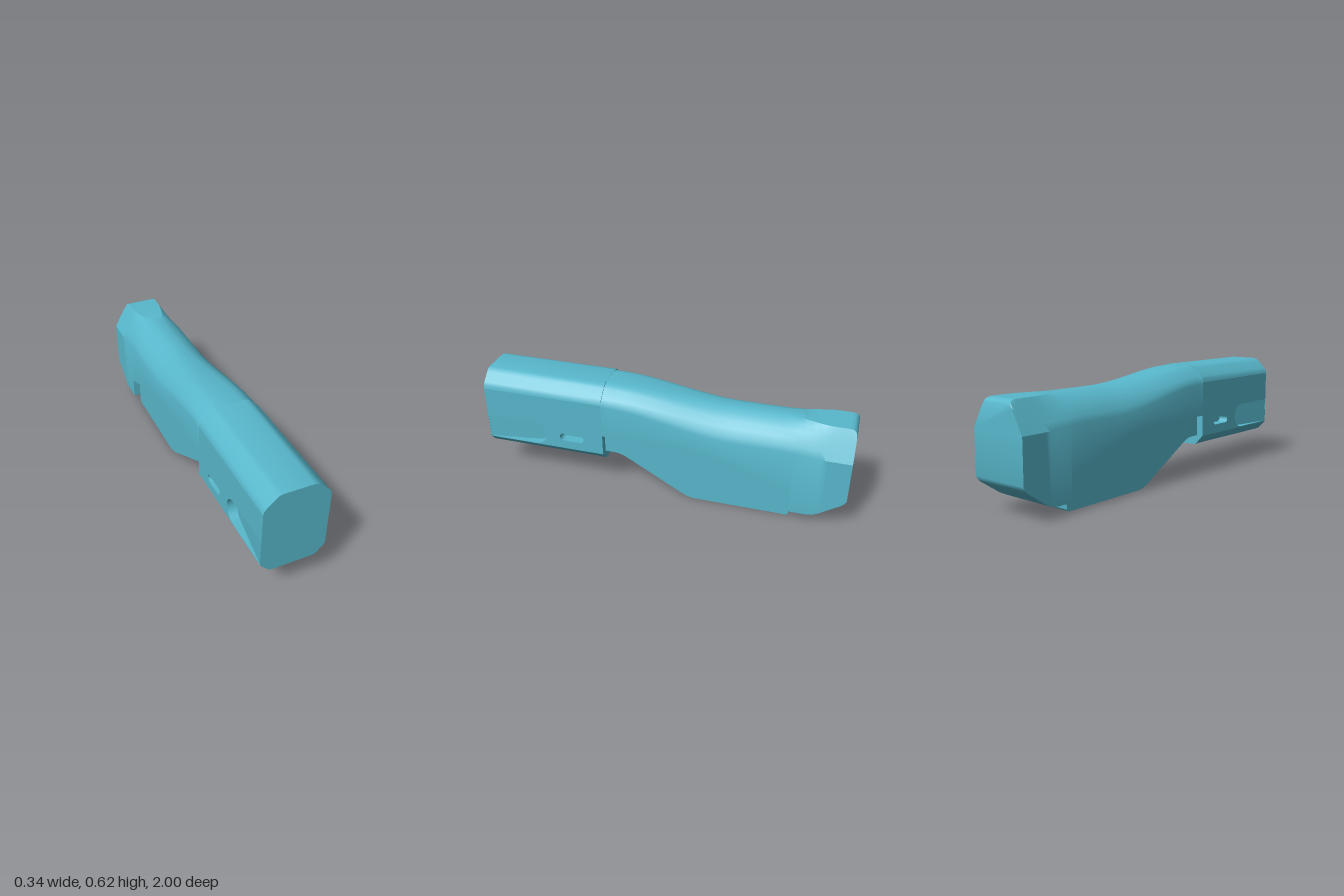
import * as THREE from 'three';
import { toCreasedNormals } from 'three/addons/utils/BufferGeometryUtils.js';

const HALF = 0.17, FRONT = 1, SEAM = 0.32, BACK = -1, STEP = -0.71;
const mat = new THREE.MeshStandardMaterial({ color: 0x58b8cc, side: THREE.DoubleSide });

const mirror = (half) => [...half, ...half.map(([x, y]) => [-x, y]).reverse()];
const vecs = (pts) => pts.map(([x, y]) => new THREE.Vector2(x, y));

// Skin a list of {z, pts} rows running from front to back; pts go counterclockwise.
function loft(rows, closed) {
  const n = rows[0].pts.length, pos = [], idx = [];
  rows.forEach(({ z, pts }) => pts.forEach(([x, y]) => pos.push(x, y, z)));
  for (let i = 0; i < rows.length - 1; i++) {
    for (let j = 0; j < (closed ? n : n - 1); j++) {
      const a = i * n + j, b = i * n + (j + 1) % n, c = a + n, d = b + n;
      idx.push(a, c, b, b, c, d);
    }
  }
  if (closed) {
    const last = (rows.length - 1) * n;
    for (let j = 1; j < n - 1; j++) idx.push(0, j, j + 1, last, last + j + 1, last + j);
  }
  const g = new THREE.BufferGeometry();
  g.setAttribute('position', new THREE.Float32BufferAttribute(pos, 3));
  g.setIndex(idx);
  return toCreasedNormals(g, 0.5);
}

// Extrude a (-z, y) outline across x, starting at x0.
function sidePlate(shape, x0, width) {
  const g = new THREE.ExtrudeGeometry(shape, { depth: width, bevelEnabled: false, curveSegments: 10 });
  g.rotateY(Math.PI / 2).translate(x0, 0, 0);
  return toCreasedNormals(g, 0.5);
}

function add(parent, name, geometry) {
  const m = new THREE.Mesh(geometry, mat);
  m.name = name;
  parent.add(m);
  return m;
}

// Piecewise linear lookup in [z, y] pairs with falling z.
function lookup(table, z) {
  for (let i = 1; i < table.length; i++) {
    const [z0, y0] = table[i - 1], [z1, y1] = table[i];
    if (z >= z1) return y0 + (y1 - y0) * (z0 - z) / (z0 - z1);
  }
  return table[table.length - 1][1];
}

// Front block: rounded octagon with slots cut in both sides.
function frontBlock() {
  const g = new THREE.Group();
  g.name = 'frontBlock';
  const top = mirror([[HALF, 0.53], [0.166, 0.549], [0.155, 0.565], [0.112, 0.605], [0.097, 0.617], [0.075, 0.622]]);
  const bottom = mirror([[HALF, 0.222], [0.132, 0.18], [0.118, 0.17], [0.1, 0.167]]).reverse();
  const strip = (pts) => loft([{ z: FRONT, pts }, { z: SEAM, pts }], false);
  add(g, 'frontTopShell', strip(top));
  add(g, 'frontBottomShell', strip(bottom));

  const face = new THREE.ShapeGeometry(new THREE.Shape(vecs([...top, ...bottom])));
  add(g, 'frontFace', face.clone().translate(0, 0, FRONT));
  add(g, 'frontBlockRearFace', face.clone().rotateY(Math.PI).translate(0, 0, SEAM));

  // Side walls with a small slot and a long ramped recess
  const wall = new THREE.Shape(vecs([[-FRONT, 0.222], [-SEAM, 0.222], [-SEAM, 0.53], [-FRONT, 0.53]]));
  const recess = new THREE.Path();
  recess.moveTo(-0.998, 0.226);
  recess.lineTo(-0.715, 0.226);
  recess.absarc(-0.719, 0.295, 0.069, -Math.PI / 2, Math.PI / 2, false);
  recess.lineTo(-0.998, 0.364);
  recess.closePath();
  const slot = new THREE.Path();
  slot.absarc(-0.548, 0.294, 0.022, Math.PI / 2, Math.PI * 1.5, false);
  slot.absarc(-0.452, 0.294, 0.022, -Math.PI / 2, Math.PI / 2, false);
  slot.closePath();
  wall.holes.push(recess, slot);
  const depth = 0.055, inner = HALF - depth;
  add(g, 'leftSideWall', sidePlate(wall, inner, depth));
  add(g, 'rightSideWall', sidePlate(wall, -HALF, depth));

  const core = add(g, 'core', new THREE.BoxGeometry(inner * 2, 0.3, 0.66));
  core.position.set(0, 0.37, 0.66);

  // Sloping floors of the long recesses
  for (const s of [1, -1]) {
    const ramp = new THREE.Shape(vecs([[HALF - 0.001, -FRONT + 0.001], [inner, -0.64], [inner - 0.02, -0.64], [inner - 0.02, -FRONT + 0.001]]));
    const geo = new THREE.ExtrudeGeometry(ramp, { depth: 0.14, bevelEnabled: false });
    geo.rotateX(-Math.PI / 2).translate(0, 0.225, 0);
    if (s < 0) geo.rotateZ(Math.PI).translate(0, 0.59, 0);
    add(g, s > 0 ? 'leftRecessFloor' : 'rightRecessFloor', geo);
  }
  return g;
}

// Rear body: cross-section blends from octagon to arch to a chamfered tail.
function rearBody() {
  const seam = [[HALF, 0.52], [0.164, 0.543], [0.15, 0.562], [0.108, 0.602], [0.086, 0.615], [0.058, 0.621]];
  const waist = [[HALF, 0.425], [0.158, 0.455], [0.135, 0.492], [0.105, 0.522], [0.07, 0.546], [0.03, 0.562]];
  const tail = [[HALF, 0.41], [0.15, 0.446], [0.13, 0.482], [0.11, 0.517], [0.09, 0.552], [0.083, 0.563]];
  const ledge = [[SEAM, 0.34], [-0.1, 0.34], [-0.2, 0.332], [-0.3, 0.314], [-0.4, 0.283], [STEP, 0.17]];
  const under = [[STEP, 0.055], [-0.8, 0.055], [-0.835, 0.06], [-0.865, 0.075], [-0.975, 0.15], [-0.993, 0.167], [BACK, 0.185]];
  const fillet = [[-0.965, 0], [-0.982, 0.004], [-0.993, 0.012], [BACK, 0.025]];

  const ring = (z, low) => {
    const a = 1 - THREE.MathUtils.smoothstep(z, -0.4, 0.29);
    const b = 1 - THREE.MathUtils.smoothstep(z, -0.9, -0.62);
    const drop = z > -0.965 ? 0 : lookup(fillet, z);
    const arch = seam.map((p, i) => {
      const mix = (k) => THREE.MathUtils.lerp(THREE.MathUtils.lerp(p[k], waist[i][k], a), tail[i][k], b);
      return [mix(0), Math.min(mix(1), 0.63 - drop - 0.067 * a)];
    });
    return { z, pts: [...mirror(arch), [-HALF, low], [HALF, low]] };
  };

  const zs = new Set([...ledge, ...under, ...fillet].map((p) => p[0]));
  for (let i = 1; i < 33; i++) zs.add(+(SEAM - i * 0.04).toFixed(3));
  const sorted = [...zs].sort((p, q) => q - p);
  return loft([
    ...sorted.filter((z) => z >= STEP).map((z) => ring(z, lookup(ledge, z))),
    ...sorted.filter((z) => z <= STEP).map((z) => ring(z, lookup(under, z))),
  ], true);
}

// Narrower lower insert hanging below the ledge.
function lowerInsert() {
  const s = new THREE.Shape();
  s.moveTo(-SEAM, 0.222);
  s.lineTo(-0.275, 0.222);
  s.quadraticCurveTo(-0.235, 0.222, -0.2, 0.203);
  s.lineTo(0.115, 0.024);
  s.quadraticCurveTo(0.158, 0, 0.2, 0);
  s.lineTo(0.69, 0);
  s.quadraticCurveTo(0.71, 0, 0.71, 0.02);
  s.lineTo(0.71, 0.2);
  s.lineTo(0.3, 0.36);
  s.lineTo(-SEAM, 0.38);
  s.closePath();
  return sidePlate(s, -0.131, 0.262);
}

export function createModel() {
  const model = new THREE.Group();
  model.name = 'model';
  model.add(frontBlock());
  add(model, 'rearBody', rearBody());
  add(model, 'lowerInsert', lowerInsert());
  return model;
}
